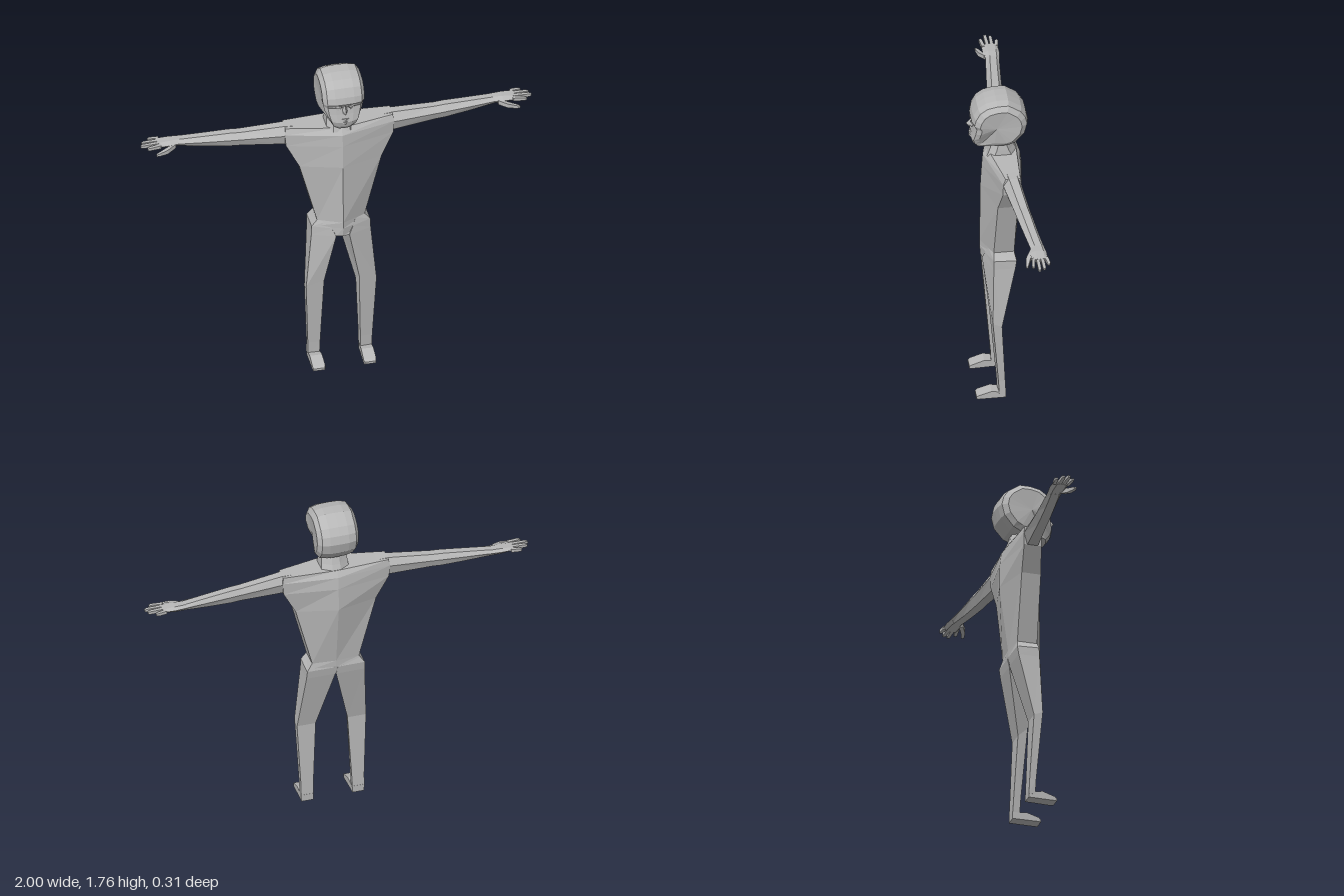
import * as THREE from 'three';

const skin = new THREE.MeshStandardMaterial({ color: 0xb8b8b8 });
skin.name = 'grey';

// Closed faceted solid through equal-sized rings of [x, y, z] points
function loft(name, rings, side = 1) {
  const tris = [];
  const R = rings.map(r => r.map(p => new THREE.Vector3(p[0] * side, p[1], p[2])));
  const n = R[0].length;
  for (let i = 0; i < R.length - 1; i++) {
    for (let j = 0; j < n; j++) {
      const k = (j + 1) % n;
      tris.push([R[i][j], R[i][k], R[i + 1][k]], [R[i][j], R[i + 1][k], R[i + 1][j]]);
    }
  }
  const cap = (ring, flip) => {
    const c = ring.reduce((s, p) => s.add(p), new THREE.Vector3()).divideScalar(n);
    ring.forEach((p, j) => {
      const q = ring[(j + 1) % n];
      tris.push(flip ? [c, q, p] : [c, p, q]);
    });
  };
  cap(R[0], true);
  cap(R[R.length - 1], false);
  // Turn the faces outward whatever the ring direction
  const origin = R[0][0];
  const rel = p => p.clone().sub(origin);
  const volume = tris.reduce((s, [a, b, c]) => s + rel(a).dot(rel(b).cross(rel(c))), 0);
  const pos = [];
  for (const [a, b, c] of tris) {
    for (const p of volume > 0 ? [a, b, c] : [a, c, b]) pos.push(p.x, p.y, p.z);
  }
  const geo = new THREE.BufferGeometry();
  geo.setAttribute('position', new THREE.Float32BufferAttribute(pos, 3));
  geo.computeVertexNormals();
  const mesh = new THREE.Mesh(geo, skin);
  mesh.name = name;
  return mesh;
}

function box(name, size, position, rotation = [0, 0, 0]) {
  const mesh = new THREE.Mesh(new THREE.BoxGeometry(...size), skin);
  mesh.name = name;
  mesh.position.set(...position);
  mesh.rotation.set(...rotation);
  return mesh;
}

// Torso: six-sided rings with a shallow ridge down chest and back
function makeTorso() {
  const ring = ([y, x, front, sideFront, sideBack, back]) => [
    [0, y, front], [x, y, sideFront], [x, y, sideBack],
    [0, y, back], [-x, y, sideBack], [-x, y, sideFront]];
  return loft('torso', [
    [0.785, 0.035, 0.08, 0.072, -0.07, -0.075],
    [0.835, 0.14, 0.083, 0.03, -0.08, -0.085],
    [0.87, 0.122, 0.083, 0.028, -0.075, -0.085],
    [1.21, 0.21, 0.08, 0.02, -0.08, -0.13],
    [1.335, 0.275, 0.073, 0.003, -0.088, -0.128],
    [1.40, 0.28, 0.068, 0.002, -0.09, -0.12],
    [1.433, 0.275, 0.045, -0.01, -0.085, -0.1]].map(ring));
}

// Neck: tapers up into the skull
function makeNeck() {
  const ring = ([y, x, front, back]) => [
    [x * 0.6, y, front], [x, y, front - 0.03], [x, y, back + 0.03], [x * 0.3, y, back],
    [-x * 0.3, y, back], [-x, y, back + 0.03], [-x, y, front - 0.03], [-x * 0.6, y, front]];
  return loft('neck', [
    [1.415, 0.072, 0.052, -0.105], [1.46, 0.068, 0.035, -0.085],
    [1.51, 0.062, 0.022, -0.068], [1.56, 0.06, 0.02, -0.06]].map(ring));
}

// Head: side profile repeated across x, shrinking toward flat temples
function makeHead() {
  const head = new THREE.Group();
  head.name = 'head';
  // [z, y, half width]
  const profile = [
    [0.005, 1.757, 0.108], [0.06, 1.745, 0.108], [0.098, 1.718, 0.108],
    [0.122, 1.675, 0.108], [0.13, 1.638, 0.106], [0.116, 1.612, 0.102],
    [0.122, 1.575, 0.096], [0.132, 1.53, 0.082], [0.124, 1.5, 0.07], [0.105, 1.476, 0.06],
    [0.03, 1.487, 0.085], [-0.05, 1.492, 0.1], [-0.09, 1.51, 0.105],
    [-0.14, 1.57, 0.108], [-0.155, 1.63, 0.108], [-0.145, 1.675, 0.108],
    [-0.12, 1.713, 0.108], [-0.055, 1.757, 0.108]];
  const slices = [[0, 1], [0.45, 0.99], [0.82, 0.93], [1, 0.74]];
  const mirrored = [...slices.slice(1).reverse().map(([f, s]) => [-f, s]), ...slices];
  const cz = -0.01, cy = 1.62;
  head.add(loft('skull', mirrored.map(([f, s]) =>
    profile.map(([z, y, w]) => [f * w, cy + (y - cy) * s, cz + (z - cz) * s]))));

  // Face details
  head.add(loft('nose', [
    [[-0.008, 1.63, 0.105], [0, 1.63, 0.126], [0.008, 1.63, 0.105]],
    [[-0.018, 1.593, 0.105], [0, 1.598, 0.153], [0.018, 1.593, 0.105]],
    [[-0.017, 1.58, 0.105], [0, 1.58, 0.138], [0.017, 1.58, 0.105]]]));
  for (const s of [-1, 1]) {
    head.add(box('brow', [0.074, 0.013, 0.024], [s * 0.052, 1.631, 0.11], [0, s * 0.25, s * 0.3]));
    head.add(box('eyelid', [0.05, 0.01, 0.02], [s * 0.052, 1.606, 0.103], [0, s * 0.25, s * 0.12]));
  }
  const lip = (y, h) => [
    [-0.042, 0.004, 0.112], [0, h, 0.139], [0.042, 0.004, 0.112]]
    .map(([x, t, z]) => [[x, y + t, z], [x, y - t, z], [x, y - t, z - 0.03], [x, y + t, z - 0.03]]);
  head.add(loft('upperLip', lip(1.545, 0.006)), loft('lowerLip', lip(1.528, 0.006)));
  return head;
}

// Arm, palm, fingers and thumb reaching out sideways
function makeArm(s) {
  const arm = new THREE.Group();
  arm.name = s > 0 ? 'leftArm' : 'rightArm';
  const ring = ([x, top, bottom, front, back]) => {
    const mid = top * 0.6 + bottom * 0.4, d = (front - back) * 0.2;
    return [[x, top, front - d * 1.6], [x, top, back + d], [x, mid, back],
      [x, bottom, back + d], [x, bottom, front - d], [x, mid, front]];
  };
  arm.add(loft('armLimb', [
    [0.22, 1.433, 1.34, 0.01, -0.09], [0.28, 1.435, 1.335, 0.002, -0.09],
    [0.5, 1.418, 1.346, -0.025, -0.103], [0.55, 1.418, 1.346, -0.03, -0.108],
    [0.68, 1.41, 1.356, -0.045, -0.118], [0.81, 1.402, 1.37, -0.06, -0.13]].map(ring), s));
  arm.add(loft('palm', [
    [0.79, 1.402, 1.37, -0.063, -0.129], [0.85, 1.403, 1.372, -0.053, -0.136],
    [0.915, 1.398, 1.378, -0.052, -0.135]].map(ring), s));
  // [start z, tip z, tip x]
  const fingers = [[-0.128, -0.134, 0.955], [-0.106, -0.107, 0.99], [-0.084, -0.082, 1], [-0.063, -0.055, 0.97]];
  const square = (x, y, z, h) => [[x, y + h, z + h], [x, y + h, z - h], [x, y - h, z - h], [x, y - h, z + h]];
  for (const [z0, z1, tip] of fingers) {
    arm.add(loft('finger', [square(0.9, 1.389, z0, 0.009), square(tip - 0.012, 1.388, z1, 0.008),
      square(tip, 1.387, z1, 0.005)], s));
  }
  arm.add(loft('thumb', [square(0.825, 1.382, -0.068, 0.012), square(0.87, 1.371, -0.043, 0.012),
    square(0.915, 1.364, -0.03, 0.008), square(0.93, 1.362, -0.028, 0.005)], s));
  return arm;
}

// Leg and foot; ring order is inner front, outer front, outer back, inner back
function makeLeg(s) {
  const leg = new THREE.Group();
  leg.name = s > 0 ? 'leftLeg' : 'rightLeg';
  leg.add(loft('legLimb', [
    [[0.07, 0.87, 0.05], [0.122, 0.87, 0.028], [0.122, 0.87, -0.074], [0.02, 0.87, -0.083]],
    [[0.055, 0.83, 0.063], [0.15, 0.835, 0.03], [0.15, 0.83, -0.084], [0.01, 0.83, -0.085]],
    [[0.034, 0.785, 0.075], [0.152, 0.785, 0.032], [0.152, 0.785, -0.077], [0.002, 0.785, -0.078]],
    [[0.09, 0.5, 0.047], [0.18, 0.47, 0.04], [0.18, 0.45, -0.006], [0.083, 0.45, -0.006]],
    [[0.103, 0.1, 0.014], [0.165, 0.1, 0.01], [0.165, 0.1, -0.024], [0.1, 0.1, -0.024]],
    [[0.105, 0.02, 0.01], [0.163, 0.02, 0.006], [0.165, 0.02, -0.028], [0.102, 0.02, -0.028]]], s));
  const ring = ([z, top, inner, outer]) => [[inner, 0, z], [inner, top, z], [outer, top, z], [outer, 0, z]];
  leg.add(loft('foot', [
    [-0.028, 0.038, 0.102, 0.163], [0.005, 0.035, 0.102, 0.163],
    [0.045, 0.042, 0.1, 0.163], [0.108, 0.022, 0.098, 0.163], [0.12, 0.013, 0.102, 0.16]].map(ring), s));
  return leg;
}

export function createModel() {
  const model = new THREE.Group();
  model.name = 'figure';
  model.add(makeTorso(), makeNeck(), makeHead());
  for (const s of [1, -1]) model.add(makeArm(s), makeLeg(s));
  return model;
}
